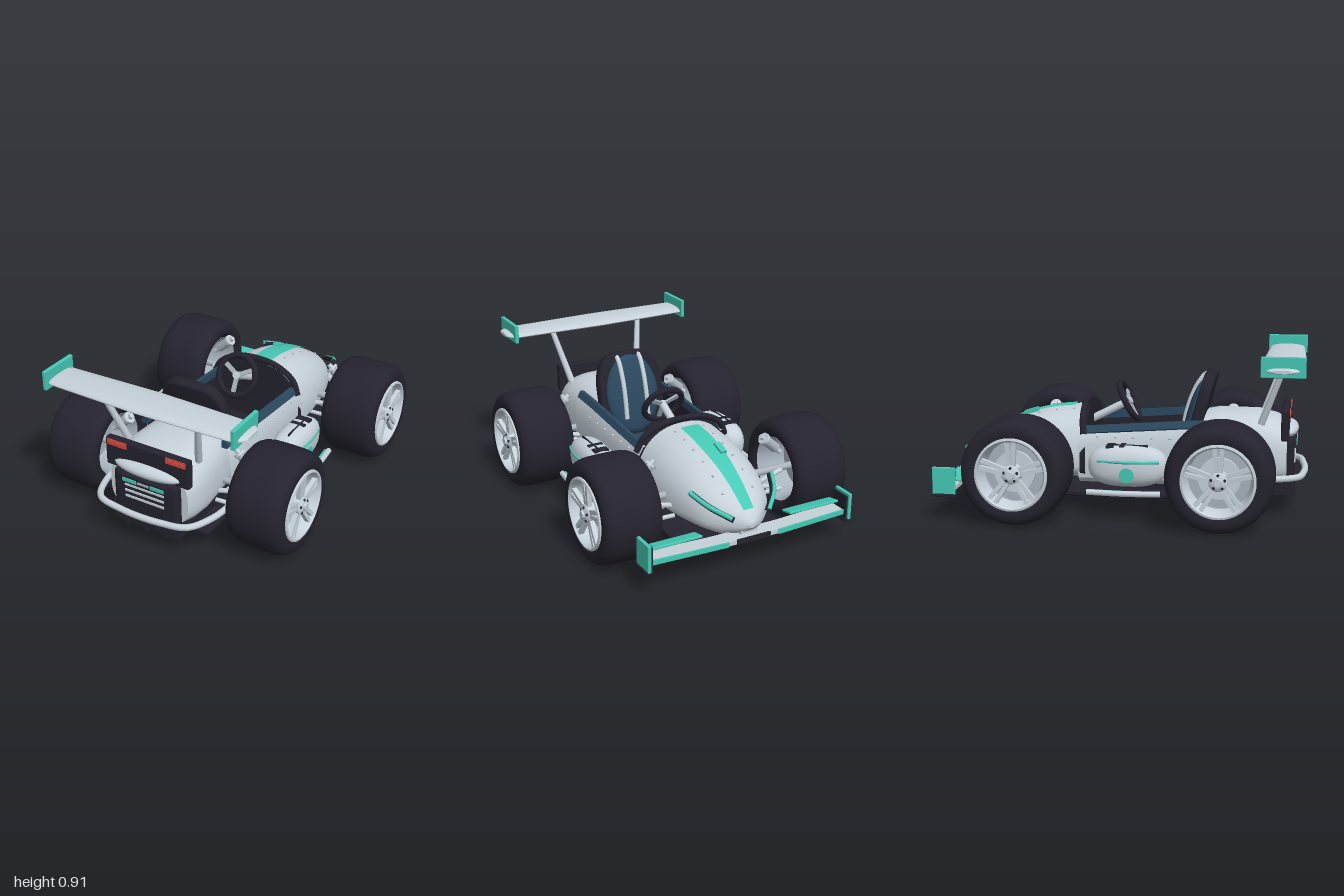
import * as THREE from 'three';
import { toCreasedNormals } from 'three/addons/utils/BufferGeometryUtils.js';
import { RoundedBoxGeometry } from 'three/addons/geometries/RoundedBoxGeometry.js';

const V = (x, y, z) => new THREE.Vector3(x, y, z);
const mat = (name, color) => { const m = new THREE.MeshStandardMaterial({ color }); m.name = name; return m; };

export function createModel() {
  const car = new THREE.Group();
  car.name = 'openWheelRacer';
  const white = mat('paleBodywork', 0xc6d1d9), black = mat('darkRubber', 0x24232e), teal = mat('tealTrim', 0x45c9b5);
  const navy = mat('navyUpholstery', 0x2b485e), red = mat('redLamp', 0xd94d40), metal = mat('greyMetal', 0xa9b4bd);
  metal.side = THREE.DoubleSide;

  const add = (name, geo, m, p = [0, 0, 0], r = [0, 0, 0], parent = car) => {
    const mesh = new THREE.Mesh(geo, m);
    mesh.name = name; mesh.position.set(...p); mesh.rotation.set(...r);
    parent.add(mesh);
    return mesh;
  };
  const box = (name, m, size, p, r) => add(name, new THREE.BoxGeometry(...size), m, p, r);
  const rbox = (name, m, size, p, r, rad = 0.01) => add(name, new RoundedBoxGeometry(...size, 2, rad), m, p, r);
  const rod = (name, m, a, b, r, r2 = r) => {
    const d = b.clone().sub(a);
    const mesh = add(name, new THREE.CylinderGeometry(r2, r, d.length(), 12), m, a.clone().add(b).multiplyScalar(0.5).toArray());
    mesh.quaternion.setFromUnitVectors(V(0, 1, 0), d.normalize());
  };
  const tube = (name, m, pts, r, parent = car) =>
    add(name, new THREE.TubeGeometry(new THREE.CatmullRomCurve3(pts), 40, r, 10), m, [0, 0, 0], [0, 0, 0], parent);
  const ball = (name, m, size, p, parent = car) =>
    add(name, new THREE.SphereGeometry(1, 32, 20), m, p, [0, 0, 0], parent).scale.set(...size);

  // Skin over rings of points, each running anticlockwise seen from +z
  const loft = (rings, caps = true, closed = true) => {
    const n = rings[0].length, pos = [], idx = [];
    rings.forEach(r => r.forEach(p => pos.push(p.x, p.y, p.z)));
    for (let j = 0; j < rings.length - 1; j++) for (let i = 0; i < (closed ? n : n - 1); i++) {
      const a = j * n + i, b = j * n + (i + 1) % n;
      idx.push(a, b, a + n, b, b + n, a + n);
    }
    if (caps) [0, rings.length - 1].forEach(j => {
      const c = pos.length / 3, mid = rings[j].reduce((s, p) => s.add(p), V(0, 0, 0)).divideScalar(n);
      pos.push(mid.x, mid.y, mid.z);
      for (let i = 0; i < n; i++) {
        const a = j * n + i, b = j * n + (i + 1) % n;
        j ? idx.push(c, a, b) : idx.push(c, b, a);
      }
    });
    const g = new THREE.BufferGeometry();
    g.setAttribute('position', new THREE.Float32BufferAttribute(pos, 3));
    g.setIndex(idx);
    return toCreasedNormals(g, 0.7);
  };
  // Rounded section with separate heights above and below its middle
  const section = (z, w, yc, up, down, n = 2.3, count = 40) => Array.from({ length: count }, (_, i) => {
    const a = i / count * Math.PI * 2, c = Math.cos(a), s = Math.sin(a);
    const e = v => Math.sign(v) * Math.abs(v) ** (2 / n);
    return V(w * e(c), yc + (s > 0 ? up : down) * e(s), z);
  });

  // Nose: points hold z, half width, top height
  const noseLine = new THREE.CatmullRomCurve3([V(-0.97, 0.02, 0.26), V(-0.94, 0.07, 0.3), V(-0.88, 0.135, 0.345), V(-0.8, 0.2, 0.4),
    V(-0.65, 0.25, 0.475), V(-0.45, 0.28, 0.53), V(-0.25, 0.29, 0.55)]).getPoints(36);
  const noseRing = (p, g = 0) => section(p.x, p.y + g, 0.24, p.z - 0.24 + g, 0.09 * Math.min(1, p.y / 0.15));
  add('noseCone', loft(noseLine.map(p => noseRing(p))), white);
  add('cockpitHoop', loft([noseRing(noseLine[36], 0.008), noseRing(V(-0.22, 0.29, 0.565), 0.012)]), black);
  tube('hoopRim', black, [V(-0.28, 0.42, -0.23), V(-0.24, 0.5, -0.24), V(-0.13, 0.56, -0.25), V(0, 0.575, -0.255),
    V(0.13, 0.56, -0.25), V(0.24, 0.5, -0.24), V(0.28, 0.42, -0.23)], 0.018);
  const noseTop = (x, z) => {
    const i = Math.max(1, noseLine.findIndex(p => p.x >= z)), a = noseLine[i - 1], b = noseLine[i];
    const p = a.clone().lerp(b, (z - a.x) / (b.x - a.x));
    return 0.24 + (p.z - 0.24) * Math.max(0, 1 - Math.abs(x / p.y) ** 2.3) ** (1 / 2.3);
  };
  const stripe = new THREE.PlaneGeometry(2, 1, 4, 24).rotateX(-Math.PI / 2), sp = stripe.attributes.position;
  for (let i = 0; i < sp.count; i++) {
    const t = sp.getZ(i) + 0.5, z = -0.93 + 0.61 * t, x = sp.getX(i) * (0.03 + 0.026 * Math.min(1, t * 1.6));
    sp.setXYZ(i, x, noseTop(x, z) + 0.009, z);
  }
  stripe.computeVertexNormals();
  add('noseStripe', stripe, teal);
  box('noseVent', teal, [0.036, 0.03, 0.08], [-0.04, noseTop(0, -0.575) + 0.005, -0.575], [-0.3, 0, 0]);

  // Open cockpit tub: pale outside, dark lining, padded rails on the rims
  const rim3 = [[-0.26, 0.455], [0.1, 0.48], [0.34, 0.498], [0.54, 0.505]];
  const outer = (z, t) => [[0.24, 0.15], [0.28, 0.18], [0.293, 0.27], [0.29, 0.36], [0.28, t - 0.05], [0.25, t], [0.238, t]].map(p => V(p[0], p[1], z));
  const flip = pts => pts.map(p => V(-p.x, p.y, p.z)).reverse();
  add('cockpitTub', loft(rim3.map(([z, t]) => [...flip(outer(z, t)), ...outer(z, t)]), false, false), white);
  add('cockpitLining', loft(rim3.map(([z, t]) => [V(0.238, t, z), V(0.232, 0.2, z), V(-0.232, 0.2, z), V(-0.238, t, z)]), false, false), black);
  const railRing = (z, t) => [[0.268, t - 0.033], [0.276, t - 0.025], [0.257, t + 0.01], [0.236, t + 0.01], [0.236, t - 0.033]].map(p => V(p[0], p[1], z));
  const railEnds = [[-0.22, 0.457], ...rim3.slice(1)];
  add('leftRail', loft(railEnds.map(([z, t]) => railRing(z, t))), navy);
  add('rightRail', loft(railEnds.map(([z, t]) => flip(railRing(z, t)))), navy);

  // Engine cover and tail
  add('engineCover', loft([[0.42, 0.245, 0.53], [0.5, 0.25, 0.545], [0.72, 0.275, 0.54], [0.82, 0.265, 0.515], [0.88, 0.24, 0.48]]
    .map(([z, w, t]) => section(z, w, 0.3, t - 0.3, 0.15, 3))), white);
  rbox('tailPanel', black, [0.51, 0.165, 0.045], [0, 0.493, 0.87]);
  ball('tailLip', white, [0.205, 0.04, 0.06], [0, 0.445, 0.88]);
  rbox('grilleBlock', black, [0.4, 0.3, 0.1], [0, 0.27, 0.87], [0, 0, 0], 0.03);
  rbox('lampFrame', black, [0.28, 0.055, 0.03], [0, 0.38, 0.915]);
  box('lampCentre', metal, [0.07, 0.012, 0.008], [0, 0.38, 0.93]);
  [0.345, 0.31, 0.275].forEach(y => box('grilleSlat', white, [0.24, 0.012, 0.012], [0, y, 0.92]));
  tube('rearBumper', white, [V(-0.36, 0.22, 0.62), V(-0.34, 0.22, 0.8), V(-0.27, 0.22, 0.94), V(-0.12, 0.215, 0.972), V(0, 0.215, 0.98),
    V(0.12, 0.215, 0.972), V(0.27, 0.22, 0.94), V(0.34, 0.22, 0.8), V(0.36, 0.22, 0.62)], 0.018);

  // Floor and diffuser
  rbox('floorPan', black, [0.61, 0.032, 1.6], [0, 0.096, 0]);
  box('diffuser', black, [0.42, 0.05, 0.92], [0, 0.13, 0.46]);
  [-0.12, 0, 0.12].forEach(x => box('diffuserFin', black, [0.012, 0.05, 0.13], [x, 0.11, 0.86]));

  // Seat, leaning back, with a domed pad and belts
  const seat = new THREE.Group(); seat.name = 'seat';
  seat.position.set(0, 0.24, 0.3); seat.rotation.x = 0.26; car.add(seat);
  const shell = new THREE.Shape(), w = 0.19, h = 0.52;
  shell.moveTo(-w, 0); shell.lineTo(w, 0); shell.lineTo(w, h - 0.19);
  shell.bezierCurveTo(w, h - 0.07, w * 0.75, h, w * 0.4, h);
  shell.lineTo(-w * 0.4, h);
  shell.bezierCurveTo(-w * 0.75, h, -w, h - 0.07, -w, h - 0.19);
  const shellGeo = new THREE.ExtrudeGeometry(shell, { depth: 0.035, bevelThickness: 0.015, bevelSize: 0.015, bevelSegments: 3, curveSegments: 16 });
  add('seatShell', toCreasedNormals(shellGeo, 0.6), black, [0, 0, 0], [0, 0, 0], seat);
  ball('seatPad', navy, [0.168, 0.235, 0.05], [0, 0.28, -0.01], seat);
  for (const x of [-0.07, 0.07])
    tube('shoulderBelt', white, [V(x, 0.525, 0.015), V(x, 0.49, -0.025), V(x, 0.4, -0.05), V(x, 0.28, -0.057), V(x, 0.14, -0.045)], 0.014, seat);
  ball('seatCushion', navy, [0.172, 0.05, 0.16], [0, 0.25, 0.175]);
  add('cushionPiping', new THREE.TorusGeometry(0.16, 0.005, 6, 40), white, [0, 0.268, 0.175], [Math.PI / 2, 0, 0]).scale.y = 0.92;

  // Steering wheel and column
  add('steeringWheel', new THREE.TorusGeometry(0.115, 0.018, 10, 36), black, [0, 0.575, -0.018], [-0.48, 0, 0]);
  [0, 2.1, -2.1].forEach(a => {
    const g = new THREE.BoxGeometry(0.025, 0.11, 0.012).translate(0, -0.055, 0).rotateZ(a);
    add('steeringSpoke', g, metal, [0, 0.575, -0.018], [-0.48, 0, 0]);
  });
  rod('steeringColumn', white, V(0, 0.58, -0.005), V(0, 0.46, -0.24), 0.022);

  // Rear wing
  add('rearWing', loft([[-0.605, 0.05, 0.01], [-0.59, 0.075, 0.016], [-0.54, 0.1, 0.022], [0, 0.115, 0.024], [0.54, 0.1, 0.022], [0.59, 0.075, 0.016], [0.605, 0.05, 0.01]]
    .map(([z, c, t]) => section(z, c, 0, t, t * 0.7, 2.3, 28))).rotateY(Math.PI / 2), white, [0, 0.832, 0.858]);

  // Front wing
  const plan = new THREE.Shape([[-0.6, 0.86], [-0.2, 0.885], [0.2, 0.885], [0.6, 0.86], [0.6, 0.96], [0.15, 0.985], [-0.15, 0.985], [-0.6, 0.96]].map(p => new THREE.Vector2(...p)));
  add('frontWing', new THREE.ExtrudeGeometry(plan, { depth: 0.022, bevelEnabled: false }).rotateX(-Math.PI / 2), white, [0, 0.165, 0]);
  box('frontWingCentre', black, [0.2, 0.026, 0.012], [0, 0.176, -0.984]);
  box('noseMount', white, [0.1, 0.1, 0.08], [0, 0.2, -0.9]);

  // Wheel shapes, spun about x
  const lathe = (pts, seg = 56) => toCreasedNormals(new THREE.LatheGeometry(pts.map(p => new THREE.Vector2(...p)), seg).rotateZ(-Math.PI / 2), 0.6);
  const tyre = lathe([[0.18, -0.13], [0.195, -0.152], [0.22, -0.162], [0.245, -0.16], [0.264, -0.147], [0.276, -0.125], [0.283, -0.09], [0.285, -0.03],
    [0.285, 0.03], [0.283, 0.09], [0.276, 0.125], [0.264, 0.147], [0.245, 0.16], [0.22, 0.164], [0.195, 0.158], [0.18, 0.13]]);
  const rim = lathe([[0.196, 0.15], [0.193, 0.166], [0.182, 0.169], [0.172, 0.155], [0.162, 0.05]]);
  const barrel = lathe([[0.182, -0.14], [0.165, -0.1], [0.16, 0.07]]);
  const disc = new THREE.CylinderGeometry(0.164, 0.164, 0.02, 40).rotateZ(Math.PI / 2);
  const brake = new THREE.CylinderGeometry(0.11, 0.11, 0.02, 32).rotateZ(Math.PI / 2);
  const hub = lathe([[0, 0.08], [0.05, 0.09], [0.05, 0.155], [0.035, 0.165], [0.022, 0.168], [0.02, 0.18], [0, 0.18]], 24);
  const spoke = new THREE.BoxGeometry(0.025, 0.145, 0.022);
  const wheel = (s, z) => {
    const g = new THREE.Group(); g.name = z > 0 ? 'rearWheel' : 'frontWheel';
    g.position.set(0.572 * s, 0.285, z); g.rotation.y = s > 0 ? 0 : Math.PI; car.add(g);
    const part = (n, geo, m, p, r) => add(n, geo, m, p, r, g);
    part('tyre', tyre, black); part('rimLip', rim, white); part('rimBarrel', barrel, metal);
    part('rimBack', disc, metal, [0.04, 0, 0]); part('brakeDisc', brake, white, [0.065, 0, 0]); part('hub', hub, white);
    for (let i = 0; i < 5; i++) {
      const a = i / 5 * Math.PI * 2;
      for (const k of [-1, 1])
        part('spoke', spoke, white, [0.142, Math.cos(a + k * 0.14) * 0.105, Math.sin(a + k * 0.14) * 0.105], [a + k * 0.07, 0, -0.05]);
      part('wheelNut', new THREE.SphereGeometry(0.008, 8, 6), black, [0.162, Math.cos(a) * 0.036, Math.sin(a) * 0.036]);
    }
  };

  // Side pod: a sphere squared off by rule
  const pod = new THREE.SphereGeometry(1, 36, 24), pp = pod.attributes.position;
  for (let i = 0; i < pp.count; i++) {
    const p = V().fromBufferAttribute(pp, i);
    p.divideScalar((Math.abs(p.x) ** 2.6 + Math.abs(p.y) ** 2.6 + Math.abs(p.z) ** 2.6) ** (1 / 2.6));
    pp.setXYZ(i, p.x * 0.092, p.y * 0.113, p.z * 0.215);
  }
  pod.computeVertexNormals();

  for (const s of [-1, 1]) {
    // Wheels and suspension
    for (const z of [-0.525, 0.55]) {
      wheel(s, z);
      rod('axle', metal, V(s * 0.2, 0.285, z), V(s * 0.55, 0.285, z), 0.02);
      for (const d of [-0.06, 0.06]) {
        rod('upperWishbone', white, V(s * 0.24, 0.245, z + d), V(s * 0.46, 0.28, z + d * 0.3), 0.014);
        rod('lowerWishbone', white, V(s * 0.24, 0.185, z + d), V(s * 0.46, 0.165, z + d * 0.3), 0.012);
      }
      const low = V(s * 0.43, 0.41, z), high = V(s * 0.33, 0.5, z);
      rod('damper', white, V(s * 0.46, 0.38, z), high, 0.014);
      rod('damperSpring', metal, low, low.clone().lerp(high, 0.7), 0.028);
      rod('damperCap', white, low.clone().lerp(high, 0.72), low.clone().lerp(high, 0.84), 0.034);
    }
    // Side pod, trim and low blade
    add('sidePod', pod, white, [s * 0.41, 0.287, 0.04]);
    box('podMount', white, [0.12, 0.08, 0.16], [s * 0.31, 0.26, 0.04]);
    box('podSpine', black, [0.008, 0.012, 0.22], [s * 0.425, 0.397, 0.04]);
    box('podVent', black, [0.085, 0.012, 0.042], [s * 0.413, 0.392, -0.053]);
    box('podVent', black, [0.085, 0.012, 0.026], [s * 0.413, 0.395, 0.013]);
    tube('podStripe', teal, [V(s * 0.479, 0.32, -0.115), V(s * 0.497, 0.32, -0.02), V(s * 0.502, 0.32, 0.055), V(s * 0.495, 0.32, 0.14), V(s * 0.474, 0.32, 0.215)], 0.008);
    add('podButton', new THREE.CylinderGeometry(0.04, 0.04, 0.016, 24).rotateZ(Math.PI / 2), teal, [s * 0.498, 0.25, 0.045]);
    tube('sideBlade', white, [V(s * 0.525, 0.16, -0.165), V(s * 0.54, 0.16, 0.03), V(s * 0.525, 0.16, 0.23)], 0.016);
    tube('bladeTrim', teal, [V(s * 0.51, 0.165, -0.15), V(s * 0.523, 0.165, 0.03), V(s * 0.51, 0.165, 0.22)], 0.008);
    // Rivets
    for (let z = -0.15; z < 0.4; z += 0.1) ball('sideRivet', white, [0.007, 0.007, 0.007], [s * 0.285, 0.415, z]);
    for (let z = -0.82; z < -0.3; z += 0.1) ball('noseRivet', metal, [0.007, 0.006, 0.007], [s * 0.09, noseTop(0.09, z), z]);
    // Tail lamps
    box('tailLamp', red, [0.12, 0.034, 0.006], [s * 0.18, 0.553, 0.893]);
    for (const k of [-0.035, 0, 0.035]) ball('lampBulb', red, [0.011, 0.011, 0.003], [s * 0.18 + k, 0.553, 0.896]);
    box('rearLamp', teal, [0.085, 0.02, 0.008], [s * 0.085, 0.38, 0.931]);
    // Rear wing supports and end plates
    rod('wingStrut', white, V(s * 0.22, 0.5, 0.74), V(s * 0.295, 0.825, 0.86), 0.02, 0.016);
    rbox('rearEndPlate', teal, [0.022, 0.108, 0.23], [s * 0.56, 0.852, 0.86], [0, 0, 0], 0.005);
    // Front wing flaps, trim, end plates
    rbox('frontFlap', teal, [0.31, 0.014, 0.08], [s * 0.42, 0.215, -0.883], [0.2, 0, 0], 0.005);
    box('frontEdgeTrim', teal, [0.45, 0.026, 0.01], [s * 0.375, 0.176, -0.974], [0, -s * 0.055, 0]);
    rbox('frontEndPlate', teal, [0.02, 0.15, 0.125], [s * 0.602, 0.21, -0.928], [0, 0, 0], 0.005);
    rbox('endPlateFoot', black, [0.045, 0.018, 0.12], [s * 0.597, 0.133, -0.928], [0, 0, 0], 0.005);
    box('endPlateBacking', black, [0.016, 0.13, 0.11], [s * 0.588, 0.205, -0.925]);
    // Curved nose canards
    const arc = (dy, dx) => [V(s * (0.1 + dx), 0.285 + dy, -0.95), V(s * (0.19 + dx), 0.34 + dy, -0.86), V(s * (0.24 + dx), 0.385 + dy, -0.755)];
    tube('canard', black, arc(0, 0), 0.015);
    tube('canardTrim', teal, arc(0.009, 0.01), 0.012);
  }
  return car;
}
